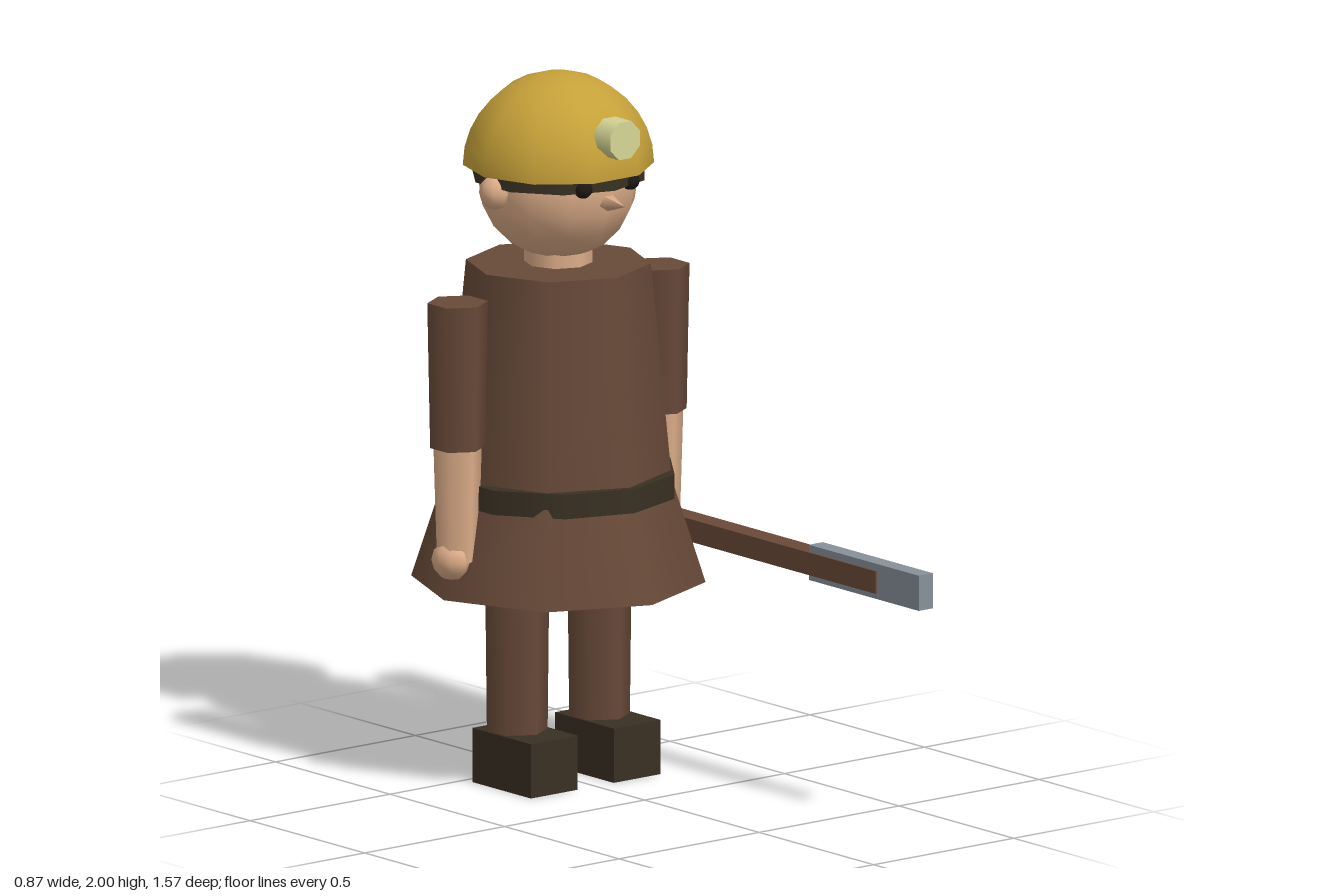
import * as THREE from 'three';

const Z = -0.376; // depth of the figure's axis

export function createModel() {
  const model = new THREE.Group();
  model.name = 'miner';

  const mat = (name, color, side = THREE.FrontSide) => {
    const m = new THREE.MeshStandardMaterial({ color, side });
    m.name = name;
    return m;
  };
  const brown = mat('brown cloth', 0x674938);
  const wood = mat('wood', 0x6b4a38);
  const skin = mat('skin', 0xdcac88);
  const dark = mat('dark leather', 0x393023);
  const black = mat('eye black', 0x1e1914);
  const gold = mat('helmet yellow', 0xc6a139, THREE.DoubleSide);
  const glass = mat('lamp', 0xd6d695);
  const steel = mat('steel', 0x87909a);

  const add = (name, geo, material, x, y, z) => {
    const mesh = new THREE.Mesh(geo, material);
    mesh.name = name;
    mesh.position.set(x, y, z);
    model.add(mesh);
    return mesh;
  };
  // tapered column standing between two heights
  const column = (name, rTop, rBottom, y0, y1, sides, material, x = 0) =>
    add(name, new THREE.CylinderGeometry(rTop, rBottom, y1 - y0, sides), material, x, (y0 + y1) / 2, Z);
  const ball = (name, rx, ry, rz, w, h, material, x, y, z) =>
    add(name, new THREE.SphereGeometry(1, w, h).scale(rx, ry, rz), material, x, y, z);

  // coat
  column('torso', 0.257, 0.318, 0.82, 1.462, 8, brown);
  column('skirt', 0.322, 0.409, 0.56, 0.83, 8, brown);
  column('belt', 0.332, 0.332, 0.807, 0.876, 10, dark);

  // head
  column('neck', 0.095, 0.095, 1.42, 1.54, 8, skin);
  ball('head', 0.224, 0.224, 0.224, 12, 10, skin, 0, 1.70, Z);
  const nose = add('nose', new THREE.ConeGeometry(0.03, 0.09, 5), skin, 0, 1.669, -0.13);
  nose.rotation.x = Math.PI / 2;

  // helmet with head band and lamp
  add('helmet', new THREE.SphereGeometry(0.265, 10, 8, 0, Math.PI * 2, 0, Math.PI / 2)
    .scale(1, 0.981, 1), gold, 0, 1.74, Z);
  column('helmetBand', 0.246, 0.246, 1.707, 1.745, 10, dark);
  const lamp = add('lamp', new THREE.CylinderGeometry(0.057, 0.057, 0.07, 8), glass, 0, 1.858, -0.12);
  lamp.rotation.x = Math.PI / 2;
  lamp.rotation.y = Math.PI / 8;

  // mirrored parts
  for (const [side, s] of [['left', 1], ['right', -1]]) {
    ball(side + 'Eye', 0.027, 0.027, 0.027, 8, 6, black, s * 0.084, 1.718, -0.166);
    ball(side + 'Ear', 0.045, 0.049, 0.045, 8, 6, skin, s * 0.226, 1.692, Z);
    column(side + 'Sleeve', 0.085, 0.077, 0.988, 1.4, 6, brown, s * 0.36);
    column(side + 'Forearm', 0.068, 0.058, 0.67, 1.0, 6, skin, s * 0.36);
    ball(side + 'Hand', 0.05, 0.056, 0.062, 8, 6, skin, s * 0.383, 0.67, Z);
    column(side + 'Leg', 0.09, 0.085, 0.14, 0.6, 6, brown, s * 0.147);
    add(side + 'Boot', new THREE.BoxGeometry(0.167, 0.154, 0.256), dark, s * 0.148, 0.077, -0.341);
  }

  // tool held in the left hand
  add('toolHandle', new THREE.BoxGeometry(0.065, 0.064, 1.112), wood, 0.36, 0.68, 0.051);
  add('toolHead', new THREE.BoxGeometry(0.05, 0.1, 0.48), steel, 0.359, 0.682, 0.549);

  return model;
}
